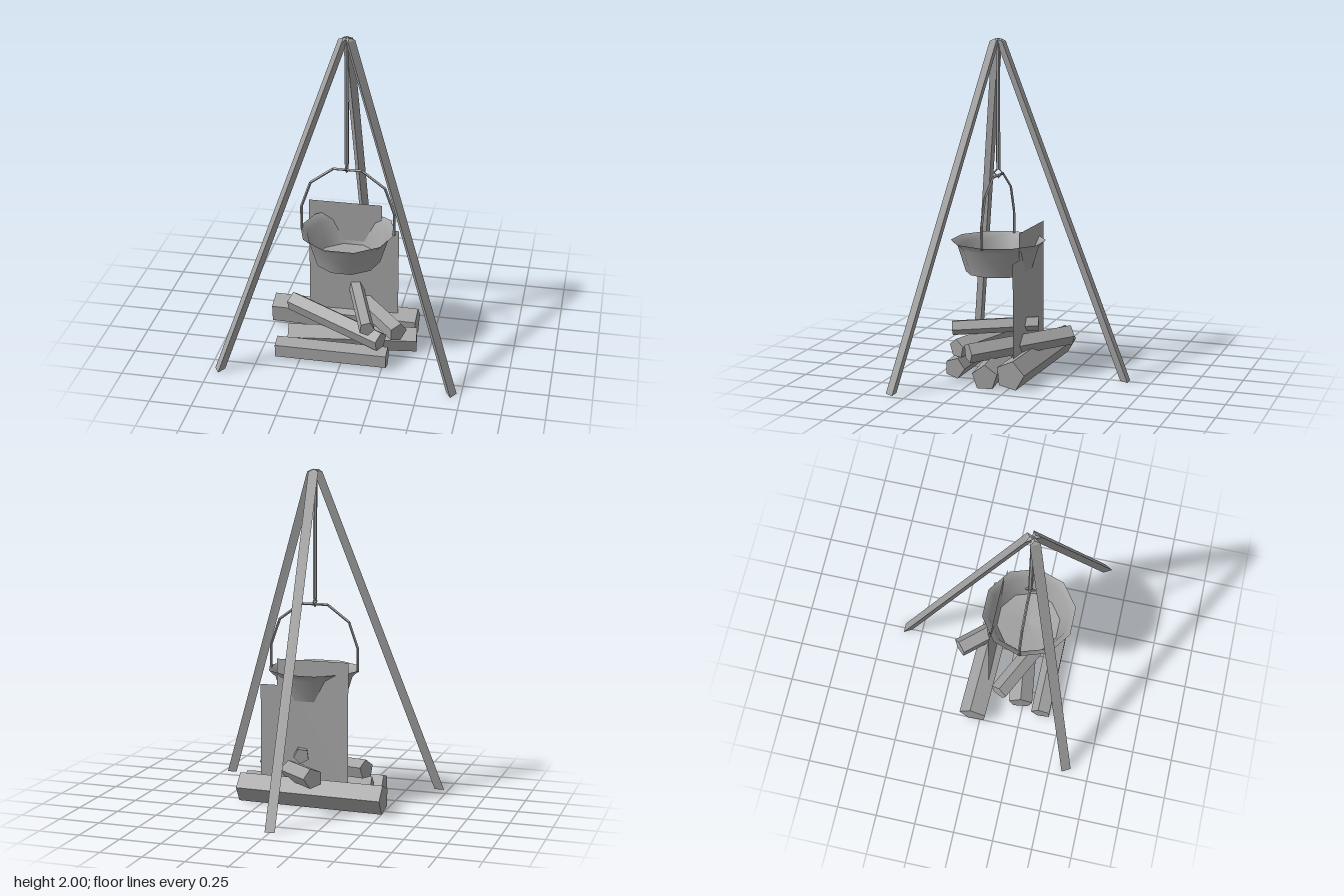
import * as THREE from 'three';

const grey = new THREE.MeshStandardMaterial({ color: 0xa3a3a3, side: THREE.DoubleSide });
grey.name = 'grey';

function flat(geometry) {
  const g = geometry.toNonIndexed();
  g.computeVertexNormals();
  return g;
}

function part(name, geometry) {
  const mesh = new THREE.Mesh(geometry, grey);
  mesh.name = name;
  return mesh;
}

// Straight prism from a to b; roll (degrees) turns its cross-section
function bar(name, a, b, radius, sides, roll = 0) {
  const from = new THREE.Vector3(...a), to = new THREE.Vector3(...b);
  const g = new THREE.CylinderGeometry(radius, radius, from.distanceTo(to), sides);
  g.rotateX(Math.PI / 2).rotateZ(THREE.MathUtils.degToRad(roll));
  const mesh = part(name, flat(g));
  mesh.position.copy(from).add(to).multiplyScalar(0.5);
  mesh.lookAt(to);
  return mesh;
}

// Three-sided pole leaning in towards the apex, cut level at the ground
function tripodLeg() {
  const g = new THREE.CylinderGeometry(0.035, 0.035, 2, 3);
  g.translate(0, 1, 0);
  const p = g.attributes.position;
  for (let i = 0; i < p.count; i++) {
    const y = p.getY(i), z = p.getZ(i);
    p.setZ(i, z - THREE.MathUtils.lerp(0.8, 0.02, y / 2));
    if (y > 1 && z < -0.01) p.setY(i, y - 0.015);
  }
  return part('tripodLeg', flat(g));
}

export function createModel() {
  const model = new THREE.Group();
  model.name = 'campfire';
  const apexZ = 0.2;

  // Tripod
  const tripod = new THREE.Group();
  tripod.name = 'tripod';
  tripod.position.z = apexZ;
  for (let i = 0; i < 3; i++) {
    const leg = tripodLeg();
    leg.rotation.y = (i * Math.PI * 2) / 3;
    tripod.add(leg);
  }
  model.add(tripod);

  // Hanging rod and diamond ring
  model.add(bar('hangingRod', [0, 1.225, apexZ], [0, 1.97, apexZ], 0.013, 6));
  const ring = part('ring', flat(new THREE.TorusGeometry(0.028, 0.006, 4, 4).rotateY(Math.PI / 2)));
  ring.position.set(0, 1.205, apexZ);
  model.add(ring);

  // Ten-sided pot with a flared lip and shallow conical base
  const pot = new THREE.Group();
  pot.name = 'pot';
  pot.position.set(0.005, 0, apexZ);
  const lathe = (pts) =>
    new THREE.LatheGeometry(pts.map(([r, y]) => new THREE.Vector2(r, y)), 10, Math.PI / 2);
  pot.add(part('potBase', lathe([[0, 0.585], [0.195, 0.607]])));
  pot.add(part('potWall', lathe([[0.195, 0.607], [0.243, 0.76], [0.285, 0.8]])));

  // Wire handle, mirrored about the middle
  const half = [[0.276, 0.79], [0.276, 0.93], [0.22, 1.09], [0.085, 1.19]];
  const wire = [...half, ...half.map(([x, y]) => [-x, y]).reverse()];
  for (let i = 1; i < wire.length; i++) {
    pot.add(bar('handle', [...wire[i - 1], 0], [...wire[i], 0], 0.008, 4));
  }
  model.add(pot);

  // Stepped upright panel behind the fire
  const outline = [[-0.27, 0.1], [0.28, 0.1], [0.28, 0.72], [0.175, 0.72], [0.175, 0.88], [-0.27, 0.88]];
  const panel = part('firePanel',
    new THREE.ShapeGeometry(new THREE.Shape(outline.map(([x, y]) => new THREE.Vector2(x, y)))));
  panel.position.z = 0.008;
  model.add(panel);

  // Five-sided logs: start, end, radius, roll
  const logs = [
    [[-0.505, 0.085, -0.042], [0.398, 0.085, -0.015], 0.09, 24],
    [[-0.355, 0.064, 0.235], [0.418, 0.064, 0.133], 0.078, 36],
    [[-0.395, 0.062, 0.378], [0.278, 0.062, 0.378], 0.065, 18],
    [[-0.36, 0.222, 0.093], [0.238, 0.172, 0.38], 0.06, 36],
    [[-0.125, 0.222, -0.213], [0.325, 0.178, 0.272], 0.062, 20],
    [[0, 0.31, -0.055], [0.165, 0.28, 0.435], 0.047, 10],
  ];
  const woodpile = new THREE.Group();
  woodpile.name = 'woodpile';
  for (const log of logs) woodpile.add(bar('log', log[0], log[1], log[2], 5, log[3]));
  model.add(woodpile);

  return model;
}
